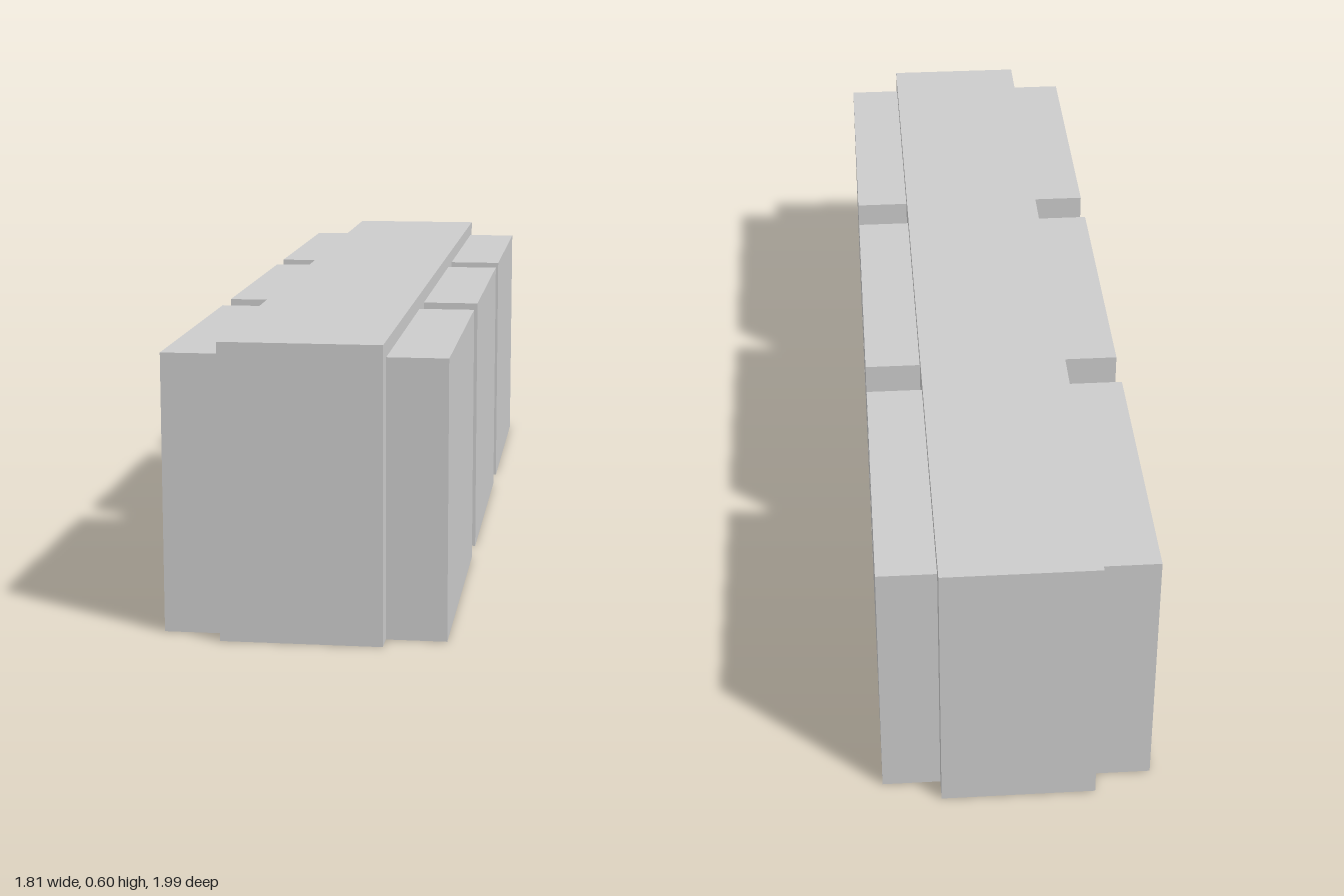
import * as THREE from 'three';

export function createModel() {
  const model = new THREE.Group();
  model.name = 'panelledBarrier';
  const material = new THREE.MeshStandardMaterial({ color: 0xcccccc, flatShading: true });

  // Every block stands on the ground
  function addBlock(name, length, height, depth, x, z) {
    const mesh = new THREE.Mesh(new THREE.BoxGeometry(length, height, depth), material);
    mesh.name = name;
    mesh.position.set(x, height / 2, z);
    barrier.add(mesh);
  }

  // The whole block runs diagonally across the ground
  const barrier = new THREE.Group();
  barrier.name = 'barrier';
  barrier.rotation.y = 0.869;
  model.add(barrier);

  // Central wall
  const coreDepth = 0.326;
  addBlock('core', 2.228, 0.603, coreDepth, 0, 0);

  // Three slightly lower panels on each long side
  const panelDepth = 0.123;
  for (const side of [-1, 1]) {
    for (const i of [-1, 0, 1]) {
      addBlock('sidePanel', 0.643, 0.571, panelDepth, i * 0.742, side * (coreDepth + panelDepth) / 2);
    }
  }
  return model;
}
